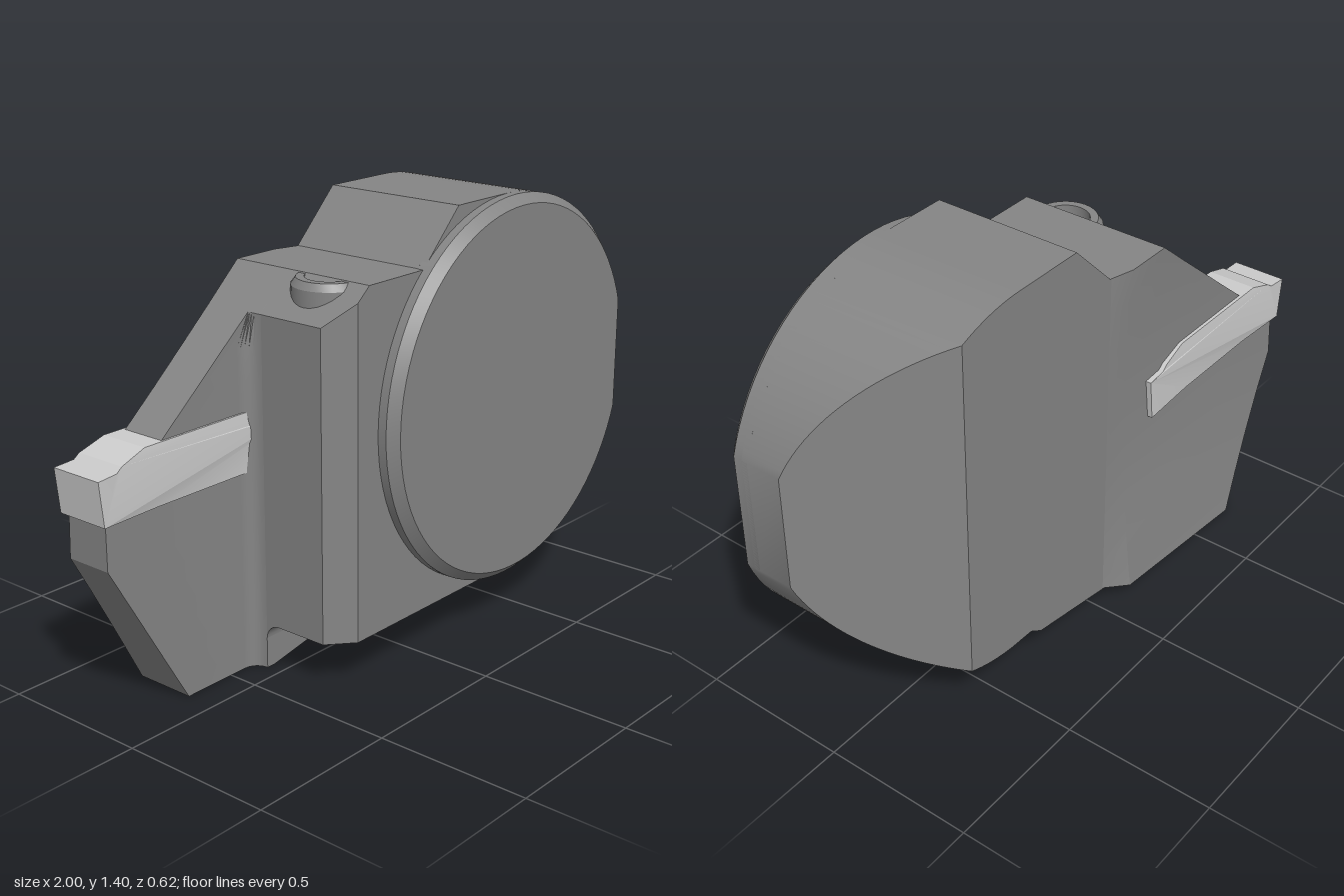
import * as THREE from 'three';
import { toCreasedNormals } from 'three/addons/utils/BufferGeometryUtils.js';

const steel = new THREE.MeshStandardMaterial({ color: 0x858585 });
const carbide = new THREE.MeshStandardMaterial({ color: 0xcccccc });

// Round head: centre, radius, and the angles of the side flat and of the rear bevel start
const CX = 0.405, CY = 0.78, R = 0.625;
const A_FLAT = Math.acos((1 - CX) / R);
const X_BEVEL = 0.645, A_BEVEL = Math.acos((X_BEVEL - CX) / R);

function arc(cx, cy, r, a0, a1, n) {
  return Array.from({ length: n + 1 }, (_, i) => {
    const a = a0 + (a1 - a0) * i / n;
    return [cx + r * Math.cos(a), cy + r * Math.sin(a)];
  });
}

function toShape(points) {
  return new THREE.Shape(points.map(([x, y]) => new THREE.Vector2(x, y)));
}

// Extrude an xy outline from z0 to z1; rule(x, y, z) may return a new z
function slab(points, z0, z1, rule, bevel = 0) {
  const geo = new THREE.ExtrudeGeometry(toShape(points), {
    depth: z1 - z0 - 2 * bevel, bevelEnabled: bevel > 0,
    bevelThickness: bevel, bevelSize: bevel, bevelOffset: -bevel, bevelSegments: 1,
  });
  geo.translate(0, 0, z0 + bevel);
  const p = geo.attributes.position;
  if (rule) for (let i = 0; i < p.count; i++) p.setZ(i, rule(p.getX(i), p.getY(i), p.getZ(i)));
  return geo;
}

// Blade: horizontal sections stacked in y, with a hollow cylindrical back
function bladeGeometry() {
  const levels = [ // height, left edge
    [0, -0.68], [0.12, -0.75], [0.25, -0.825], [0.38, -0.9], [0.5, -0.97], [0.64, -0.97],
    [0.64, -0.75], [0.83, -0.75], [0.93, -0.63], [1.03, -0.511], [1.13, -0.391], [1.24, -0.26],
  ];
  const fillet = arc(-0.44, -0.05, 0.05, -Math.PI / 2, 0, 6);
  const back = y => -0.25 - 0.086 * (y - 0.8) ** 2;
  const rows = levels.map(([h, left]) => {
    const loop = [[left, -0.1], ...fillet, [-0.02, -0.05], [-0.02, -0.245], [-0.1, null], [left, null]];
    return loop.map(([px, pz]) => {
      const x = Math.max(px, left);
      const y = Math.max(h, 0.18 * (x + 0.38));
      return [x, y, pz === null ? back(y) : pz];
    });
  });
  const n = rows[0].length, pos = rows.flat(2), idx = [];
  for (let i = 0; i < rows.length - 1; i++) {
    for (let j = 0; j < n; j++) {
      const a = i * n + j, b = i * n + (j + 1) % n;
      idx.push(a, b, b + n, a, b + n, a + n);
    }
  }
  const k = n - 2, top = (rows.length - 1) * n;
  for (let i = 1; i < n - 1; i++) {
    const b = (k + i) % n, c = (k + i + 1) % n;
    idx.push(k, c, b, top + k, top + b, top + c);
  }
  const geo = new THREE.BufferGeometry();
  geo.setAttribute('position', new THREE.Float32BufferAttribute(pos, 3));
  geo.setIndex(idx);
  return geo;
}

// Double-ended cutting insert, slightly wider at both tips
function insertGeometry() {
  const mid = -0.6075;
  const half = [[0.3775, 0.64], [0.3925, 0.78], [0.3225, 0.785], [0.3025, 0.8], [0.2125, 0.83]];
  const right = [[0.17, 0.64], ...half];
  const outline = [
    ...right.map(([x, y]) => [mid + x, y]),
    ...right.slice().reverse().map(([x, y]) => [mid - x, y]),
  ];
  return slab(outline, -1, 1, (x, y, z) => {
    const t = THREE.MathUtils.clamp((Math.abs(x - mid) - 0.17) / 0.2, 0, 1);
    return -0.177 + Math.sign(z) * (0.082 + 0.01 * t);
  });
}

export function createModel() {
  const model = new THREE.Group();
  const add = (name, geo, material = steel, crease = 0.4) => {
    const mesh = new THREE.Mesh(toCreasedNormals(geo, crease), material);
    mesh.name = name;
    model.add(mesh);
    return mesh;
  };
  const TAU = Math.PI * 2;

  // Main body with the raised upper shoulder
  add('body', slab([
    [-0.31, 0.15], [0.31, 0.15],
    ...arc(CX, CY, R, -Math.PI / 2, -A_BEVEL, 10),
    ...arc(CX, CY, R, A_BEVEL, Math.PI / 2, 10),
    [0.15, 1.405], [-0.015, 1.24], [-0.26, 1.24], [-0.31, 1.198],
  ], -0.245, 0.25));

  // Side of the head, with the 45 degree bevel at the rear
  add('bevelledSide', slab([
    ...arc(CX, CY, R, -A_BEVEL, -A_FLAT, 20),
    ...arc(CX, CY, R, A_FLAT, A_BEVEL, 20),
  ], -0.245, 0.25, (x, y, z) => (z < 0 ? -0.245 + x - X_BEVEL : z)));

  // Front disc with chamfered rim and one flat
  add('frontDisc', slab(arc(CX, CY, R, A_FLAT, TAU - A_FLAT, 80), 0.2, 0.31, null, 0.03));

  // Chamfered edge of the block beside the blade
  add('blockEdge', slab([[-0.39, 0.15], [-0.31, 0.15], [-0.31, 1.198], [-0.39, 1.13]],
    -0.2, 0.25, (x, y, z) => (z > 0 && x < -0.35 ? 0.18 : z)));

  // Blade, its sloping foot and the fillet under the block
  add('blade', bladeGeometry());
  add('foot', slab([[-0.39, 0], [-0.36, 0], [0.31, 0.12], [0.37, 0.16], [0.37, 0.2], [-0.39, 0.2]], -0.245, -0.05));
  const fillet = slab([[0.06, 0.16], [0, 0.16], ...arc(0, 0.1, 0.05, Math.PI / 2, 0, 8), [0.06, 0.1]], -0.39, 0.3);
  add('footFillet', fillet.rotateY(Math.PI / 2));

  add('cuttingInsert', insertGeometry(), carbide, 0.2);

  // Clamping screw with a recessed socket
  const profile = [[0.115, 1.05], [0.115, 1.215], [0.1, 1.237], [0.075, 1.237], [0.075, 1.19], [0, 1.19]];
  const screw = add('clampScrew', new THREE.LatheGeometry(profile.map(p => new THREE.Vector2(...p)), 32));
  screw.position.set(-0.235, 0, 0.08);

  return model;
}
